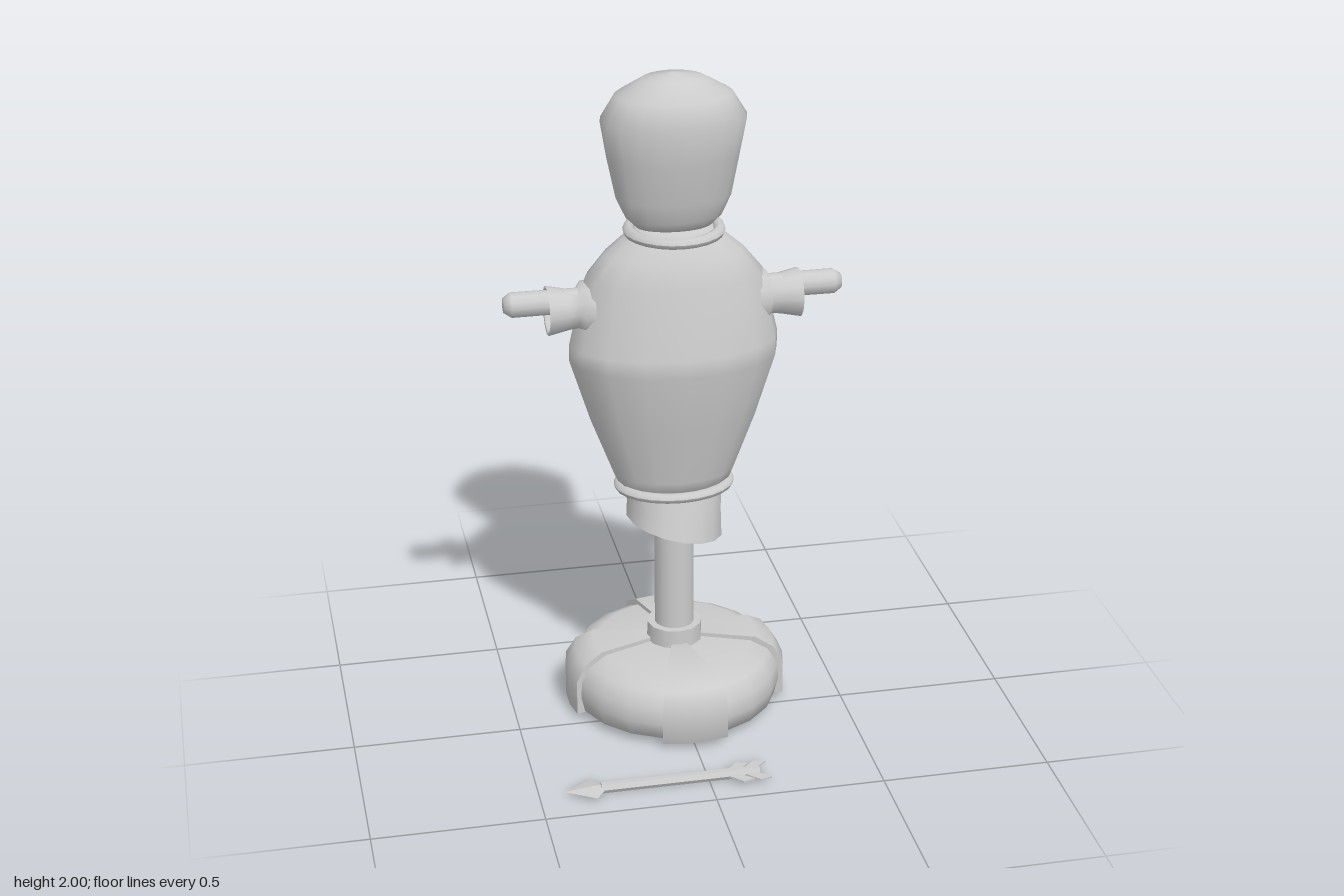
import * as THREE from 'three';
import { ConvexGeometry } from 'three/addons/geometries/ConvexGeometry.js';

const grey = new THREE.MeshStandardMaterial({ color: 0xcccccc });
const greyBoth = new THREE.MeshStandardMaterial({ color: 0xcccccc, side: THREE.DoubleSide });
const v2 = (p) => new THREE.Vector2(p[0], p[1]);

function add(parent, name, geometry, x = 0, y = 0, z = 0, material = grey) {
  const mesh = new THREE.Mesh(geometry, material);
  mesh.name = name;
  mesh.position.set(x, y, z);
  parent.add(mesh);
  return mesh;
}

// Smooth skin over elliptical rings [y, halfWidth, halfDepth, zOffset, tilt], bottom to top
function loft(rings, n = 16) {
  const pos = [], index = [];
  for (const [y, rx, rz, oz = 0, tilt = 0] of rings) {
    for (let i = 0; i < n; i++) {
      const a = (i / n) * Math.PI * 2;
      pos.push(Math.sin(a) * rx, y + tilt * Math.sin(a), oz + Math.cos(a) * rz);
    }
  }
  for (let r = 0; r < rings.length - 1; r++) {
    for (let i = 0; i < n; i++) {
      const a = r * n + i, b = r * n + (i + 1) % n;
      index.push(a, b, b + n, a, b + n, a + n);
    }
  }
  const g = new THREE.BufferGeometry();
  g.setAttribute('position', new THREE.Float32BufferAttribute(pos, 3));
  g.setIndex(index);
  g.computeVertexNormals();
  return g;
}

function ring(rx, rz, tube) {
  const g = new THREE.TorusGeometry(1, tube, 8, 24).rotateX(Math.PI / 2);
  const p = g.attributes.position;
  for (let i = 0; i < p.count; i++) {
    // keep the tube round while the path becomes an ellipse
    const x = p.getX(i), z = p.getZ(i), len = Math.hypot(x, z);
    const off = len - 1;
    p.setXYZ(i, (x / len) * (rx + off), p.getY(i), (z / len) * (rz + off));
  }
  g.computeVertexNormals();
  return g;
}

function buildBase(dummy) {
  const base = new THREE.Group();
  base.name = 'base';
  dummy.add(base);
  const profile = [[0, 0.022], [0.27, 0.022], [0.31, 0.03], [0.322, 0.08], [0.318, 0.13], [0.29, 0.175], [0.235, 0.203], [0.08, 0.21], [0, 0.21]];
  add(base, 'weight', new THREE.LatheGeometry(profile.map(v2), 20));

  // Four raised wedge straps, with closed ends
  const strap = [[0.07, 0.19], [0.23, 0.19], [0.3, 0.13], [0.3, 0.025], [0.335, 0.025], [0.335, 0.135], [0.305, 0.185], [0.25, 0.216], [0.07, 0.222]];
  const half = 0.3;
  const cap = new THREE.ShapeGeometry(new THREE.Shape(strap.map(v2)));
  for (let k = 0; k < 4; k++) {
    const group = new THREE.Group();
    group.name = 'strap';
    group.rotation.y = k * Math.PI / 2;
    base.add(group);
    const loop = [...strap, strap[0]].map(v2);
    add(group, 'strapBand', new THREE.LatheGeometry(loop, 3, -half, half * 2), 0, 0, 0, greyBoth);
    for (const s of [-1, 1]) {
      add(group, 'strapSide', cap, 0, 0, 0, greyBoth).rotation.y = s * half - Math.PI / 2;
    }
  }
  add(base, 'collar', new THREE.CylinderGeometry(0.083, 0.085, 0.08, 12), 0, 0.226, 0);
  add(dummy, 'pole', new THREE.CylinderGeometry(0.06, 0.06, 0.56, 16), 0, 0.5, 0);
}

function buildBody(dummy) {
  add(dummy, 'torso', loft([
    [0.73, 0, 0], [0.73, 0.16, 0.105], [0.78, 0.182, 0.118], [0.96, 0.25, 0.158], [1.15, 0.309, 0.2],
    [1.2, 0.309, 0.194], [1.4, 0.262, 0.152], [1.47, 0.205, 0.126], [1.53, 0.135, 0.09], [1.55, 0.1, 0.07], [1.55, 0, 0],
  ]));
  add(dummy, 'skirt', loft([
    [0.6, 0.145, 0.152, -0.002, -0.035], [0.66, 0.143, 0.132, 0, -0.014], [0.74, 0.145, 0.108],
  ]), 0, 0, 0, greyBoth);
  add(dummy, 'waistRope', ring(0.165, 0.124, 0.016), 0, 0.737, 0);
  add(dummy, 'neckRope', ring(0.131, 0.13, 0.017), 0, 1.538, 0.005);
  add(dummy, 'head', loft([
    [1.545, 0, 0], [1.55, 0.11, 0.065, 0.005], [1.58, 0.14, 0.085, 0.005], [1.64, 0.168, 0.108, 0.003],
    [1.76, 0.192, 0.142, -0.005], [1.87, 0.211, 0.149, 0.003], [1.94, 0.168, 0.124, 0.003],
    [1.985, 0.088, 0.07, 0.002], [2, 0, 0],
  ], 20));
}

// Stub arm pointing along +x or -x, inside an open flared sleeve
function buildArm(dummy, side) {
  const arm = new THREE.Group();
  arm.name = side > 0 ? 'leftArm' : 'rightArm';
  arm.rotation.z = -side * Math.PI / 2;
  arm.position.y = 1.32;
  dummy.add(arm);
  const rod = [[0.036, 0.2], [0.037, 0.475], [0.022, 0.497], [0, 0.497]];
  add(arm, 'armRod', new THREE.LatheGeometry(rod.map(v2), 12), -side * 0.018);
  const sleeve = [[0.085, 0.23], [0.08, 0.27], [0.057, 0.285], [0.06, 0.31], [0.073, 0.372], [0.062, 0.37], [0.05, 0.29]];
  add(arm, 'sleeve', new THREE.LatheGeometry(sleeve.map(v2), 12), side * 0.008, 0, 0, greyBoth);
}

function buildArrow(root) {
  const arrow = new THREE.Group();
  arrow.name = 'arrow';
  arrow.position.set(0, 0.018, 0.392);
  root.add(arrow);

  const shaft = new THREE.CylinderGeometry(0.016, 0.016, 0.47, 6);
  shaft.rotateZ(Math.PI / 2).rotateX(Math.PI / 2).rotateX(Math.PI / 2);
  const shaftMat = grey.clone();
  shaftMat.flatShading = true;
  add(arrow, 'arrowShaft', shaft, -0.085, 0, 0, shaftMat);

  const tip = [[-0.428, 0, 0]];
  for (const s of [-1, 1]) {
    tip.push([-0.34, 0, 0.053 * s], [-0.311, 0, 0.014 * s], [-0.325, 0.012 * s, 0]);
  }
  add(arrow, 'arrowHead', new ConvexGeometry(tip.map((p) => new THREE.Vector3(...p))));

  // Two swept vanes on each side
  const vane = new THREE.Shape([[0.05, 0.01], [0.093, 0.053], [0.128, 0.043], [0.087, 0.01]].map(v2));
  const vaneGeo = new THREE.ExtrudeGeometry(vane, { depth: 0.006, bevelEnabled: false }).translate(0, 0, -0.003);
  for (const s of [-1, 1]) {
    for (const dx of [0, 0.051]) add(arrow, 'vane', vaneGeo, dx).rotation.x = s * Math.PI / 2;
  }
}

export function createModel() {
  const root = new THREE.Group();
  root.name = 'trainingDummy';
  const dummy = new THREE.Group();
  dummy.name = 'dummy';
  dummy.position.z = -0.118;
  root.add(dummy);
  buildBase(dummy);
  buildBody(dummy);
  for (const side of [-1, 1]) buildArm(dummy, side);
  buildArrow(root);
  return root;
}
